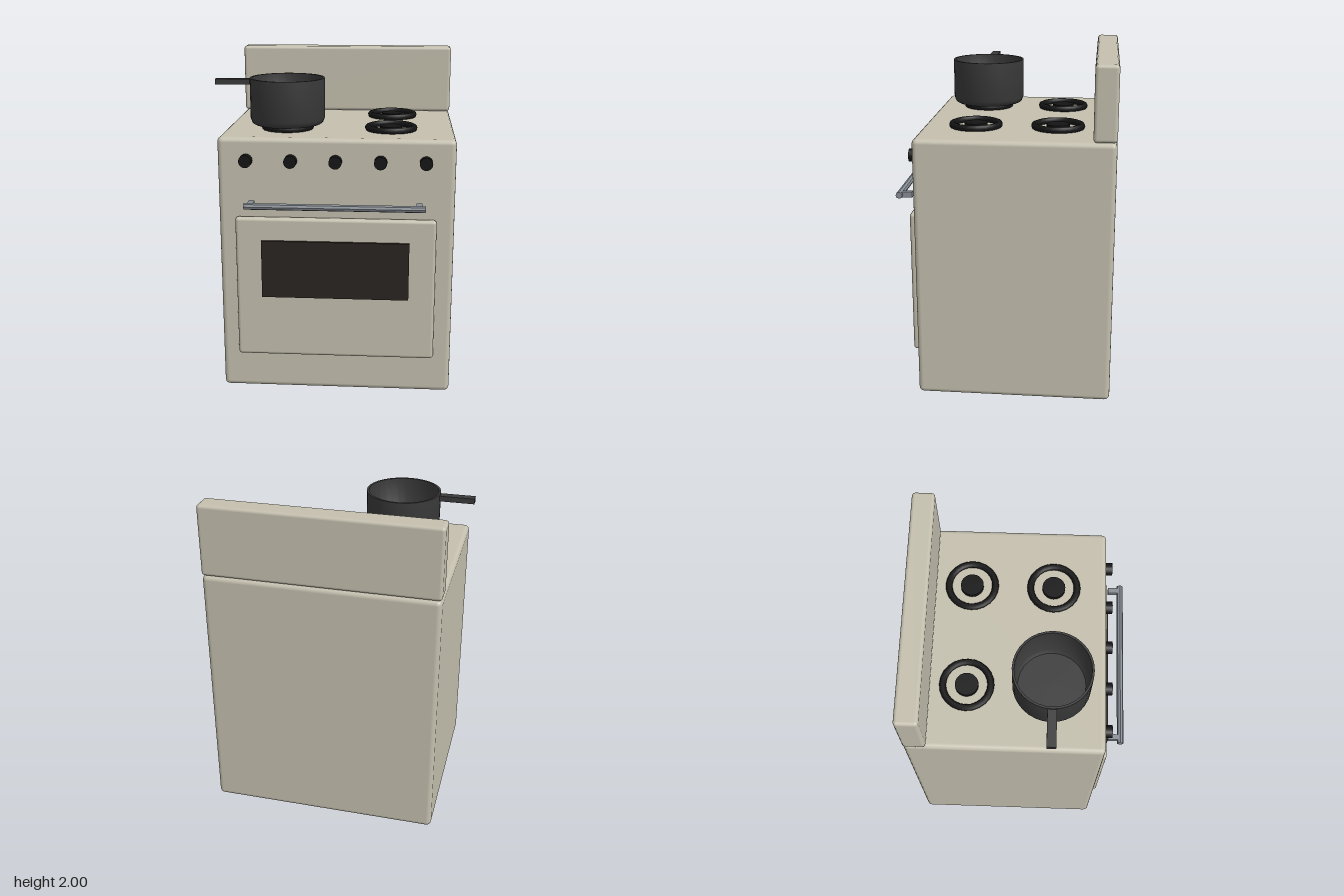
import * as THREE from 'three';
import { RoundedBoxGeometry } from 'three/addons/geometries/RoundedBoxGeometry.js';
import { toCreasedNormals } from 'three/addons/utils/BufferGeometryUtils.js';

const mat = (color, extra = {}) => {
  const m = new THREE.MeshStandardMaterial({ color });
  return Object.assign(m, extra);
};

export function createModel() {
  const model = new THREE.Group();
  const enamel = mat(0xc4bfae);
  const black = mat(0x141414);
  const metal = mat(0x878e95);
  const glass = mat(0x2a2420);
  const iron = mat(0x3a3a3a, { side: THREE.DoubleSide });

  const add = (name, geometry, material, parent = model) => {
    const mesh = new THREE.Mesh(geometry, material);
    mesh.name = name;
    parent.add(mesh);
    return mesh;
  };

  // Boxes are given by their min and max corners; r > 0 rounds the edges
  const box = (name, [x0, y0, z0], [x1, y1, z1], material, r = 0, parent = model) => {
    const size = [x1 - x0, y1 - y0, z1 - z0];
    const g = r ? new RoundedBoxGeometry(...size, 2, r) : new THREE.BoxGeometry(...size);
    const mesh = add(name, g, material, parent);
    mesh.position.set((x0 + x1) / 2, (y0 + y1) / 2, (z0 + z1) / 2);
    return mesh;
  };

  // Cabinet, back panel and oven door
  box('body', [-0.67, 0, -0.645], [0.72, 1.57, 0.503], enamel, 0.03);
  box('backPanel', [-0.67, 1.57, -0.645], [0.72, 2, -0.512], enamel, 0.02);
  box('ovenDoor', [-0.568, 0.233, 0.498], [0.616, 1.1, 0.548], enamel, 0.02);
  box('ovenWindow', [-0.413, 0.614, 0.53], [0.46, 0.964, 0.566], glass);

  // Oven handle: octagonal bar on two posts
  const handle = new THREE.Group();
  handle.name = 'ovenHandle';
  model.add(handle);
  const bar = add('handleBar',
    toCreasedNormals(new THREE.CylinderGeometry(0.02, 0.02, 1.047, 8), 0.6), metal, handle);
  bar.rotation.z = Math.PI / 2;
  bar.position.set(0.024, 1.19, 0.62);
  for (const x of [-0.464, 0.512]) {
    box('handlePost', [x - 0.017, 1.174, 0.545], [x + 0.017, 1.207, 0.62], metal, 0, handle);
  }

  // Control knobs
  for (let i = 0; i < 5; i++) {
    const knob = add('knob', new THREE.CylinderGeometry(0.038, 0.038, 0.05, 16), black);
    knob.rotation.x = Math.PI / 2;
    knob.position.set(-0.5 + i * 0.2618, 1.437, 0.524);
  }

  // Burners: ring and central cap
  for (const x of [-0.29, 0.338]) {
    for (const z of [-0.3, 0.187]) {
      const burner = new THREE.Group();
      burner.name = 'burner';
      burner.position.set(x, 1.57, z);
      model.add(burner);
      const ring = add('burnerRing', new THREE.TorusGeometry(0.139, 0.02, 8, 24), black, burner);
      ring.rotation.x = Math.PI / 2;
      ring.position.y = 0.014;
      const cap = add('burnerCap', new THREE.CylinderGeometry(0.068, 0.068, 0.03, 20), black, burner);
      cap.position.y = 0.01;
    }
  }

  // Saucepan: hollow turned body with a side handle
  const pan = new THREE.Group();
  pan.name = 'saucepan';
  pan.position.set(-0.29, 1.603, 0.187);
  model.add(pan);
  const profile = [
    [0, 0], [0.2, 0], [0.214, 0.008], [0.225, 0.035], [0.226, 0.277],
    [0.213, 0.277], [0.212, 0.04], [0.195, 0.018], [0, 0.018],
  ].map(([r, y]) => new THREE.Vector2(r, y));
  add('panBody', toCreasedNormals(new THREE.LatheGeometry(profile, 32), 0.7), iron, pan);
  box('panHandle', [-0.435, 0.234, -0.026], [-0.219, 0.267, 0.026], iron, 0, pan);

  return model;
}
